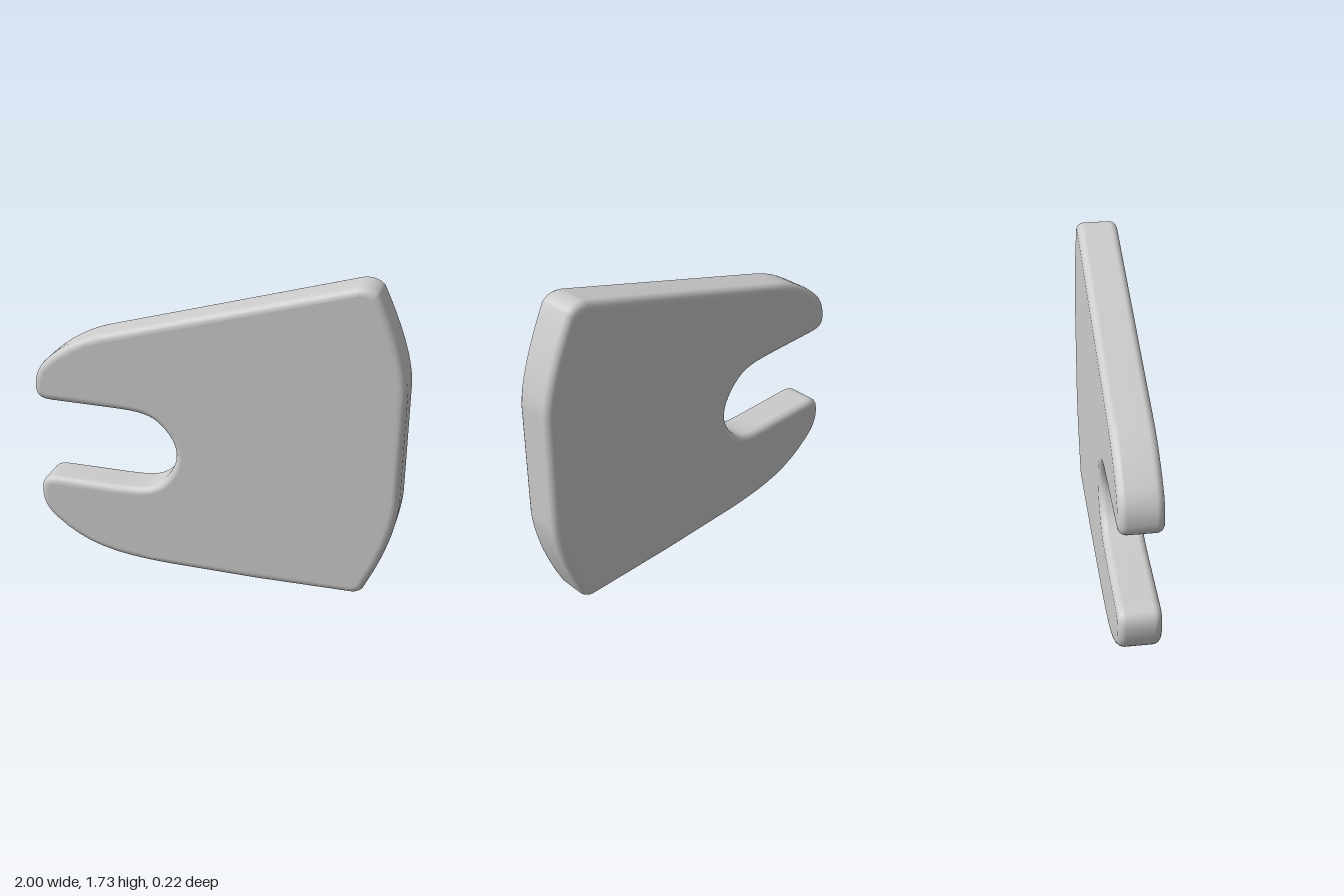
import * as THREE from 'three';
import { mergeVertices } from 'three/addons/utils/BufferGeometryUtils.js';

const THICKNESS = 0.22;
const BEVEL = 0.04;

// Outline of the plate, counter-clockwise from the lower right corner
function plateOutline() {
  const s = new THREE.Shape();
  s.moveTo(0.78, 0.01);
  // bowed right edge between two small rounded corners
  s.quadraticCurveTo(0.81, 0.01, 0.838, 0.04);
  s.quadraticCurveTo(0.985, 0.34, 1, 0.57);
  s.lineTo(1, 1.2);
  s.quadraticCurveTo(0.99, 1.38, 0.835, 1.695);
  s.quadraticCurveTo(0.79, 1.74, 0.72, 1.724);
  // sloping top edge and rounded upper prong
  s.lineTo(-0.6, 1.34);
  s.bezierCurveTo(-0.73, 1.305, -0.85, 1.23, -0.93, 1.155);
  s.bezierCurveTo(-0.99, 1.1, -1, 1.04, -1, 0.99);
  s.bezierCurveTo(-0.995, 0.94, -0.97, 0.922, -0.9, 0.922);
  // open slot with a rounded end
  s.lineTo(-0.55, 0.92);
  s.bezierCurveTo(-0.4, 0.918, -0.34, 0.91, -0.28, 0.85);
  s.bezierCurveTo(-0.225, 0.795, -0.202, 0.74, -0.202, 0.69);
  s.bezierCurveTo(-0.202, 0.64, -0.225, 0.585, -0.28, 0.525);
  s.bezierCurveTo(-0.34, 0.468, -0.4, 0.462, -0.55, 0.46);
  // rounded lower prong running into the flat bottom
  s.lineTo(-0.9, 0.46);
  s.bezierCurveTo(-0.97, 0.46, -1, 0.43, -1, 0.36);
  s.bezierCurveTo(-1, 0.28, -0.97, 0.24, -0.92, 0.195);
  s.bezierCurveTo(-0.75, 0.05, -0.58, 0.01, -0.25, 0.003);
  s.lineTo(0.25, 0);
  s.closePath();
  return s;
}

export function createModel() {
  const group = new THREE.Group();
  group.name = 'slottedPlate';

  // Plate with softly rounded rims on both faces
  const extruded = new THREE.ExtrudeGeometry(plateOutline(), {
    depth: THICKNESS - 2 * BEVEL,
    curveSegments: 8,
    bevelEnabled: true,
    bevelSize: BEVEL,
    bevelOffset: -BEVEL,
    bevelThickness: BEVEL,
    bevelSegments: 5,
  });
  extruded.translate(0, 0, BEVEL - THICKNESS / 2);

  // Shared vertices give smooth shading around the rims
  extruded.deleteAttribute('normal');
  extruded.deleteAttribute('uv');
  const geometry = mergeVertices(extruded, 1e-4);
  geometry.computeVertexNormals();

  const plate = new THREE.Mesh(geometry, new THREE.MeshStandardMaterial({ color: 0xcccccc }));
  plate.name = 'plate';
  group.add(plate);
  return group;
}
